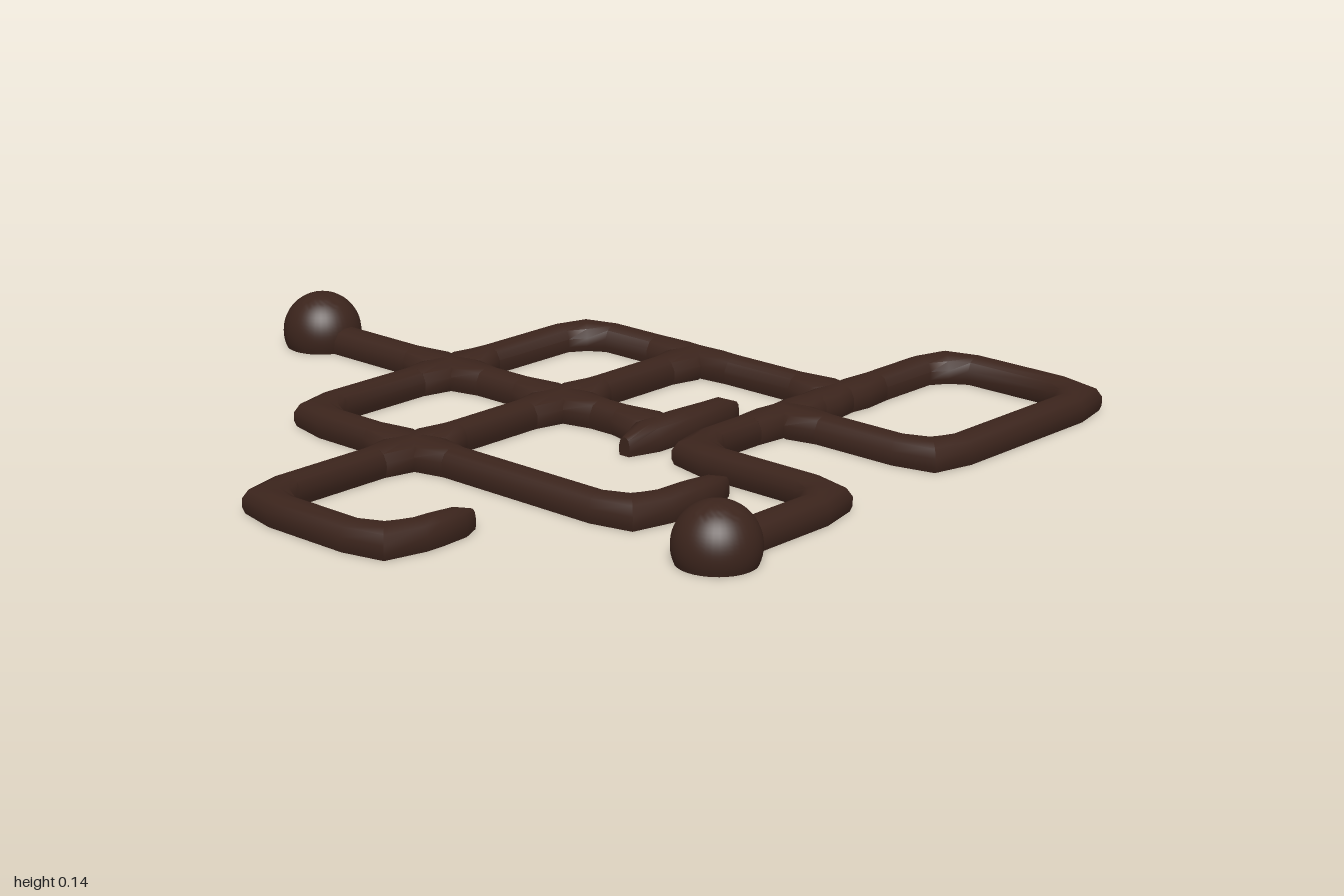
import * as THREE from 'three';
import { toCreasedNormals } from 'three/addons/utils/BufferGeometryUtils.js';

const material = new THREE.MeshStandardMaterial({ color: 0x3b241c });
const HALF = 0.042, HEIGHT = 0.064;

// Bar cross-section: flat underside, rounded top (side in half-widths, up in heights)
const right = [[0.3, 1], [0.75, 0.87], [1, 0.55], [1, 0.22], [0.9, 0]];
const section = [...right.map(([u, v]) => [-u, v]).reverse(), ...right];

// Sweep the section along points {x, z, w: half-width, h: height}
function sweep(points) {
  const n = section.length, last = points.length - 1;
  const pos = [], index = [];
  points.forEach((p, i) => {
    const dirTo = (a, b) => new THREE.Vector2(b.x - a.x, b.z - a.z).normalize();
    const d = new THREE.Vector2();
    if (i > 0) d.add(dirTo(points[i - 1], p));
    if (i < last) d.add(dirTo(p, points[i + 1]));
    d.normalize();
    for (const [u, v] of section) pos.push(p.x - d.y * u * p.w, v * p.h, p.z + d.x * u * p.w);
  });
  for (let i = 0; i < last; i++) {
    for (let j = 0; j < n; j++) {
      const a = i * n + j, b = i * n + (j + 1) % n;
      index.push(a, b, a + n, b, b + n, a + n);
    }
  }
  for (let j = 1; j < n - 1; j++) {
    index.push(0, j + 1, j);
    index.push(last * n, last * n + j, last * n + j + 1);
  }
  const geo = new THREE.BufferGeometry();
  geo.setAttribute('position', new THREE.Float32BufferAttribute(pos, 3));
  geo.setIndex(index);
  return toCreasedNormals(geo, 0.8);
}

const point = (x, z, w = HALF, h = HEIGHT) => ({ x, z, w, h });

// Turn square corners into softened bends; optionally sharpen the first end
function route(corners, pointedStart) {
  const out = [];
  corners.forEach(([x, z], i) => {
    const prev = corners[i - 1], next = corners[i + 1];
    if (prev && next) {
      const a = new THREE.Vector2(prev[0] - x, prev[1] - z).normalize();
      const b = new THREE.Vector2(next[0] - x, next[1] - z).normalize();
      out.push(point(x + a.x * 0.1, z + a.y * 0.1));
      out.push(point(x + (a.x + b.x) * 0.026, z + (a.y + b.y) * 0.026, 0.06));
      out.push(point(x + b.x * 0.1, z + b.y * 0.1));
    } else if (!prev && pointedStart) {
      const s = Math.sign(next[0] - x);
      out.push(point(x, z, 0.012, 0.045), point(x + s * 0.05, z + 0.003, 0.034, 0.06), point(x + s * 0.12, z + 0.002, 0.04));
    } else out.push(point(x, z));
  });
  return out;
}

export function createModel() {
  const group = new THREE.Group();
  const add = (name, geometry, x = 0, z = 0) => {
    const mesh = new THREE.Mesh(geometry, material);
    mesh.name = name;
    mesh.position.set(x, 0, z);
    group.add(mesh);
  };

  // Main bars
  add('stem', sweep([point(0.045, -0.88), point(0.045, 0.28)]));
  add('upperFrame', sweep(route([[-0.14, 0.63], [-0.45, 0.63], [-0.45, -0.43], [0.535, -0.43], [0.535, 0.415]], true)));
  add('crossbarWithHook', sweep(route([[-0.685, 0.37], [-0.95, 0.37], [-0.95, -0.05], [0.535, -0.05]], true)));
  add('lowerLoop', sweep(route([[-0.45, 0.89], [-0.045, 0.89], [-0.045, 0.415], [0.945, 0.415],
    [0.945, 0.865], [0.32, 0.865], [0.32, 0.415]], false)));

  // Pointed foot at the end of the stem
  add('stemFoot', sweep([point(-0.09, 0.277, 0.016, 0.045), point(-0.01, 0.275, 0.046),
    point(0.11, 0.275, 0.048), point(0.25, 0.28, 0.038), point(0.3, 0.282, 0.012, 0.045)]));

  // Flared arms where bars meet
  const arms = { N: [0, -1], S: [0, 1], E: [1, 0], W: [-1, 0] };
  const joints = [[0.045, -0.43, 'NSEW'], [-0.45, -0.05, 'NSEW'], [0.045, -0.05, 'NSEW'],
    [0.535, -0.05, 'NSW'], [0.535, 0.415, 'NEW'], [0.32, 0.415, 'SEW'], [0.045, 0.28, 'N']];
  for (const [x, z, dirs] of joints) {
    for (const key of dirs) {
      const [dx, dz] = arms[key];
      // An arm only flares on sides where another bar leaves the joint
      const across = dx ? 'NS' : 'EW';
      const full = [...across].every((k) => dirs.includes(k)) || key === 'N' && dirs === 'N';
      const w = full ? 0.062 : 0.05;
      add('jointFlare', sweep([point(x, z, HALF), point(x + dx * 0.055, z + dz * 0.055, w),
        point(x + dx * 0.13, z + dz * 0.13)]));
    }
  }

  // Ball ends with flat undersides
  const R = 0.1, lift = 0.04, start = -Math.asin(lift / R), profile = [new THREE.Vector2(0, 0)];
  for (let i = 0; i <= 20; i++) {
    const t = start + (Math.PI / 2 - start) * i / 20;
    profile.push(new THREE.Vector2(Math.max(0, R * Math.cos(t)), lift + R * Math.sin(t)));
  }
  const ball = toCreasedNormals(new THREE.LatheGeometry(profile, 40), 0.6);
  add('backBall', ball, 0.045, -0.9);
  add('frontBall', ball, -0.48, 0.9);
  return group;
}
